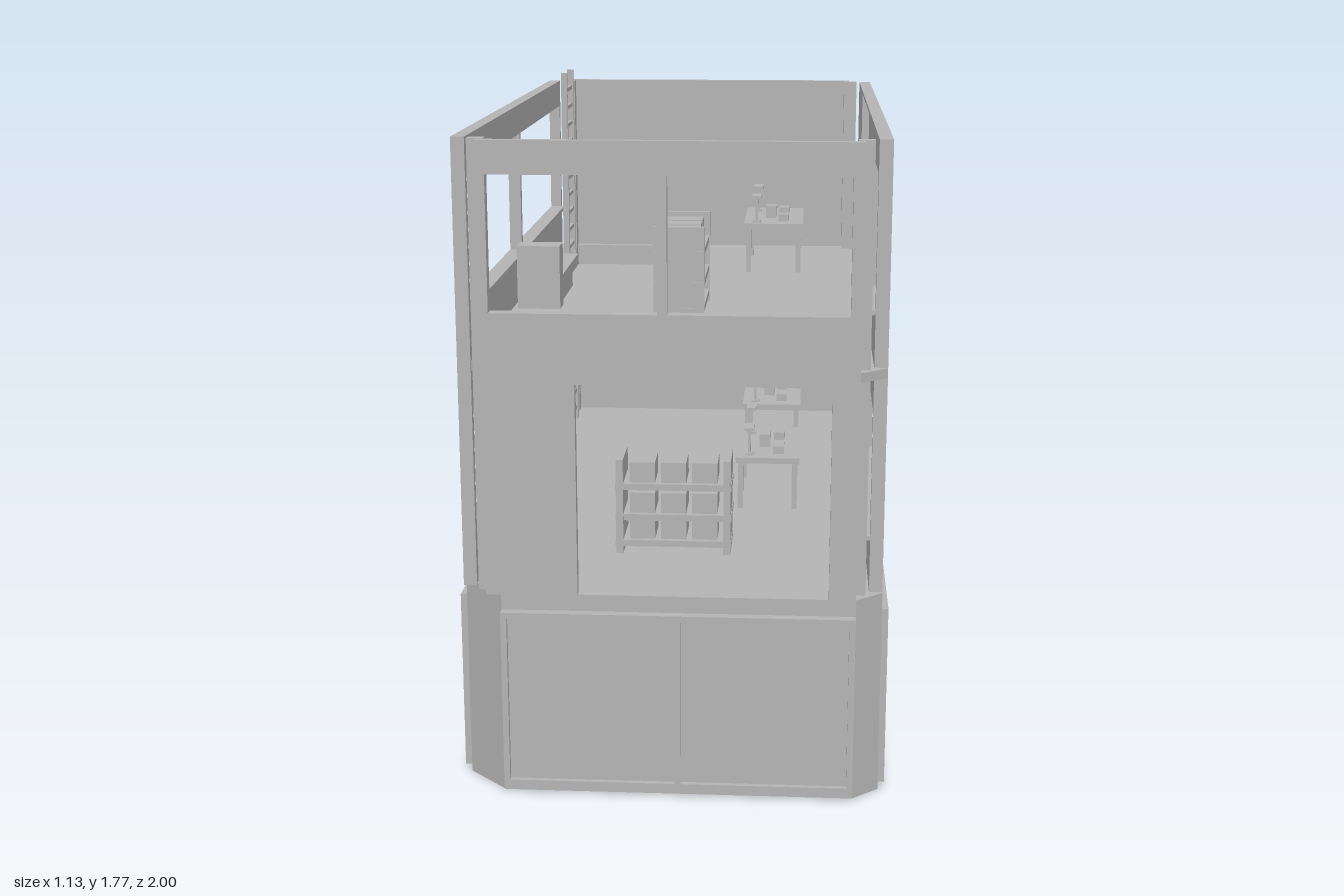
import * as THREE from 'three';

const grey = new THREE.MeshStandardMaterial({ color: 0xb4b4b4 });
grey.name = 'plain grey';

function add(parent, name, geometry) {
  const mesh = new THREE.Mesh(geometry, grey);
  mesh.name = name;
  parent.add(mesh);
  return mesh;
}

// Box given by its limits on each axis
function box(parent, name, x0, x1, y0, y1, z0, z1) {
  const g = new THREE.BoxGeometry(x1 - x0, y1 - y0, z1 - z0);
  g.translate((x0 + x1) / 2, (y0 + y1) / 2, (z0 + z1) / 2);
  return add(parent, name, g);
}

function group(parent, name, x = 0, y = 0, z = 0) {
  const g = new THREE.Group();
  g.name = name;
  g.position.set(x, y, z);
  parent.add(g);
  return g;
}

const rectangle = ([a0, a1, b0, b1], Type) => new Type([
  new THREE.Vector2(a0, b0), new THREE.Vector2(a1, b0),
  new THREE.Vector2(a1, b1), new THREE.Vector2(a0, b1)]);

// Upright panel with rectangular openings
function panel(limits, holes, depth) {
  const shape = rectangle(limits, THREE.Shape);
  shape.holes = holes.map(h => rectangle(h, THREE.Path));
  return new THREE.ExtrudeGeometry(shape, { depth, bevelEnabled: false });
}

// Horizontal slab with two narrow and two wide cut corners
function slab(parent, name, y0, y1, inset, hole) {
  const X = 0.55 - inset, Z = 0.975 - inset;
  const half = [[X, 0.915], [0.48, Z], [-0.44, Z], [-X, 0.87]];
  const points = [...half, ...half.map(([x, z]) => [-x, -z])];
  const shape = new THREE.Shape(points.map(p => new THREE.Vector2(...p)));
  if (hole) shape.holes.push(rectangle(hole, THREE.Path));
  const g = new THREE.ExtrudeGeometry(shape, { depth: y1 - y0, bevelEnabled: false });
  g.rotateX(Math.PI / 2).translate(0, y1, 0);
  return add(parent, name, g);
}

// Framed cladding, laid out along x and facing +z from z = 0
function cladding(parent, name, a0, a1, count, t) {
  const g = group(parent, name);
  box(g, 'claddingPanel', a0 + 0.005, a1 - 0.005, 0.025, 0.505, -0.005, t * 0.45);
  const e = 0.016, w = (a1 - a0 - e) / count, holes = [];
  for (let i = 0; i < count; i++) {
    holes.push([a0 + e + i * w, a0 + (i + 1) * w, 0.04, 0.493]);
  }
  add(g, 'claddingFrame', panel([a0, a1, 0.02, 0.51], holes, t));
  return g;
}

function table(parent, x, y, z) {
  const g = group(parent, 'workTable', x, y, z);
  box(g, 'tableTop', -0.095, 0.095, 0.143, 0.16, -0.178, 0.178);
  for (const sx of [-1, 1]) for (const sz of [-1, 1]) {
    const cx = sx * 0.08, cz = sz * 0.158;
    box(g, 'tableLeg', cx - 0.008, cx + 0.008, 0, 0.143, cz - 0.008, cz + 0.008);
  }
  // T-shaped lamps
  for (const z0 of [-0.105, 0.135]) {
    box(g, 'lampBase', -0.068, -0.042, 0.16, 0.166, z0 - 0.015, z0 + 0.015);
    box(g, 'lampStem', -0.059, -0.051, 0.16, 0.24, z0 - 0.004, z0 + 0.004);
    box(g, 'lampHead', -0.07, -0.04, 0.238, 0.247, z0 - 0.03, z0 + 0.03);
  }
  // Small boxes on the table
  box(g, 'tableBox', 0.015, 0.048, 0.16, 0.183, -0.075, -0.025);
  box(g, 'tableBox', -0.027, 0.006, 0.16, 0.199, 0.005, 0.055);
  box(g, 'tableBox', 0.015, 0.048, 0.16, 0.183, 0.08, 0.13);
}

// Three-level storage rack with a row of boxes on each level
function rack(parent, x, y, z, turn) {
  const g = group(parent, 'storageRack', x, y, z);
  g.rotation.y = turn;
  for (const s of [-1, 1]) {
    box(g, 'rackEnd', s * 0.148 - 0.01, s * 0.148 + 0.01, 0, 0.268, -0.072, 0.072);
  }
  for (const top of [0.038, 0.113, 0.2]) {
    box(g, 'rackShelf', -0.16, 0.16, top - 0.018, top, -0.07, 0.07);
    for (let i = -1; i <= 1; i++) {
      box(g, 'storedBox', i * 0.086 - 0.035, i * 0.086 + 0.035, top, top + 0.057, -0.055, 0.055);
    }
  }
}

export function createModel() {
  const model = new THREE.Group();
  model.name = 'threeLevelBuilding';

  // Plinth with framed cladding on all four sides
  slab(model, 'plinth', 0, 0.555, 0);
  for (const s of [1, -1]) {
    const end = cladding(model, 'endCladding', -0.44, 0.48, 2, 0.025);
    end.position.z = s * 0.975;
    end.rotation.y = s > 0 ? 0 : Math.PI;
    const side = cladding(model, 'sideCladding', -0.912, 0.87, 4, 0.017);
    side.position.x = s * 0.55;
    side.rotation.y = s * Math.PI / 2;
  }

  // Upper floor with ladder hatch
  slab(model, 'upperFloor', 1.13, 1.155, 0.002, [-0.49, -0.15, -0.92, -0.54]);

  // End walls
  const front = add(model, 'frontWall', panel([-0.48, 0.48, 0.55, 1.73], [
    [-0.24, 0.41, 0.555, 1.115],
    [-0.455, -0.03, 1.297, 1.645], [-0.005, 0.452, 1.297, 1.645]], 0.025));
  front.position.z = 0.95;
  box(model, 'backWall', -0.48, 0.48, 0.55, 1.73, -0.975, -0.95);

  // Side walls
  const lower = [[-0.885, -0.002, 0.7, 1.04], [0.02, 0.885, 0.7, 1.04]];
  const upperLeft = [[-0.535, 0.123, 1.155, 1.72],
    [0.144, 0.52, 1.297, 1.645], [0.54, 0.885, 1.297, 1.645]];
  const upperRight = [[-0.885, -0.002, 1.297, 1.645], [0.02, 0.885, 1.297, 1.645]];
  for (const [s, name, upper] of [[1, 'leftWall', upperLeft], [-1, 'rightWall', upperRight]]) {
    const g = panel([-0.905, 0.908, 0.55, 1.73], [...lower, ...upper], 0.035);
    g.rotateY(-Math.PI / 2);
    add(model, name, g).position.x = s > 0 ? 0.55 : -0.515;
    // Inner window sills
    const runs = s > 0 ? [[-0.885, -0.535], [0.123, 0.885]] : [[-0.885, 0.885]];
    const a = Math.min(s * 0.505, s * 0.516), b = Math.max(s * 0.505, s * 0.516);
    for (const [z0, z1] of runs) box(model, 'upperSill', a, b, 1.285, 1.297, z0, z1);
    box(model, 'lowerSill', a, b, 0.688, 0.7, -0.885, 0.885);
    // Corner posts
    for (const sz of [-1, 1]) {
      const x = s * 0.484, z = sz * 0.917;
      box(model, 'cornerPost', x - 0.021, x + 0.021, 0.55, 1.73, z - 0.02, z + 0.02);
    }
  }
  box(model, 'frontSill', -0.455, 0.452, 1.285, 1.297, 0.94, 0.951);

  // Ladder
  const ladder = group(model, 'ladder');
  for (const z of [-0.64, -0.802]) {
    box(ladder, 'ladderRail', -0.475, -0.455, 0.555, 1.775, z - 0.007, z + 0.007);
  }
  for (let i = 0; i < 20; i++) {
    const y = 0.6 + i * 0.0588;
    box(ladder, 'ladderRung', -0.471, -0.459, y - 0.006, y + 0.006, -0.802, -0.64);
  }

  // Furniture
  table(model, 0.235, 0.555, -0.59);
  table(model, 0.235, 0.555, 0.048);
  table(model, 0.235, 1.155, -0.59);
  rack(model, -0.015, 0.555, 0.57, 0);
  rack(model, -0.017, 1.155, 0.21, Math.PI / 2);

  // Bench with a raised end
  const bench = group(model, 'bench');
  box(bench, 'benchBase', -0.495, -0.385, 1.155, 1.21, -0.155, 0.215);
  box(bench, 'benchTop', -0.5, -0.375, 1.21, 1.245, -0.22, 0.15);
  box(bench, 'benchRaisedEnd', -0.5, -0.375, 1.155, 1.34, 0.14, 0.215);
  return model;
}
